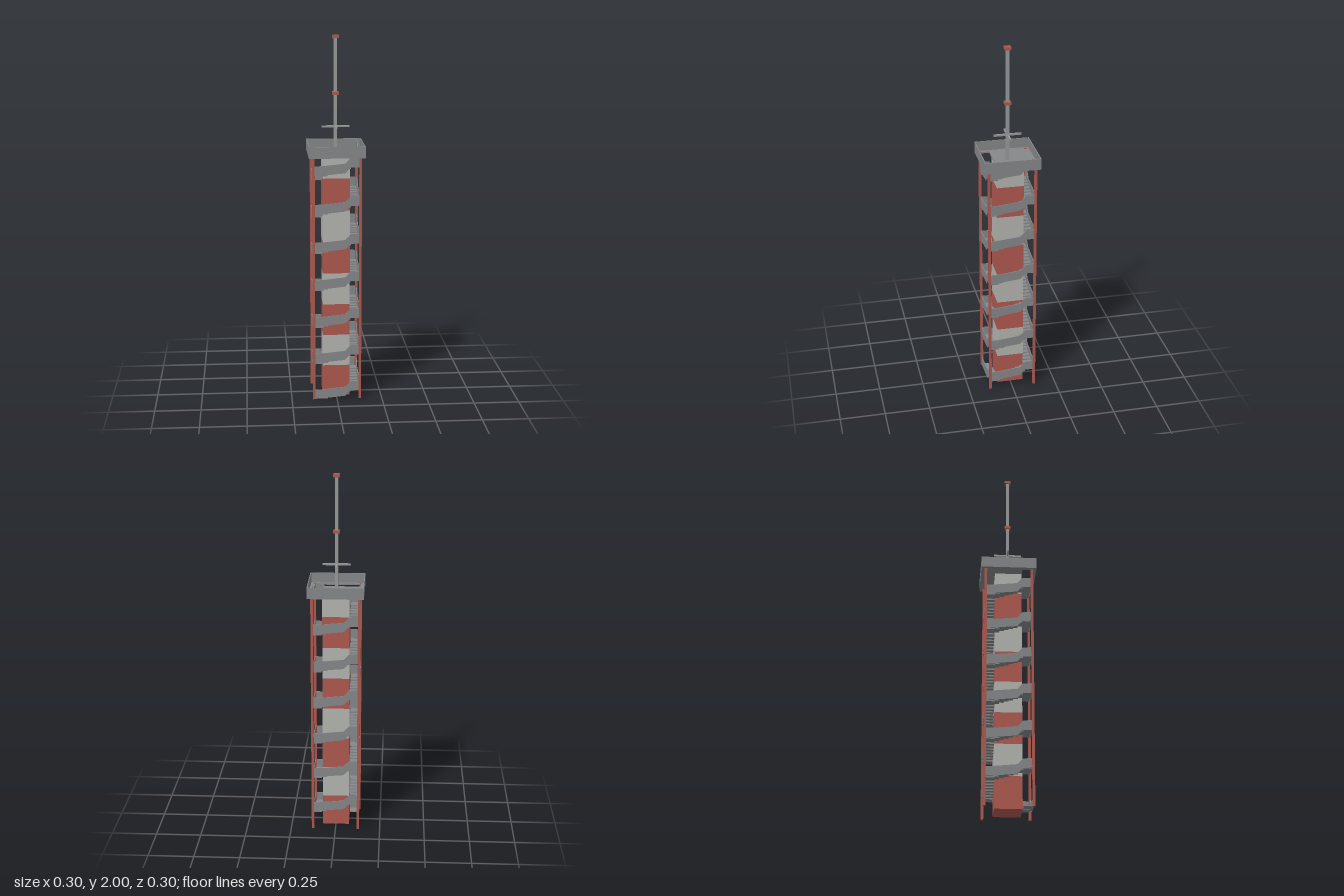
import * as THREE from 'three';

export function createModel() {
  const model = new THREE.Group();
  const mat = (name, color) => {
    const m = new THREE.MeshStandardMaterial({ color });
    m.name = name;
    return m;
  };
  const red = mat('red paint', 0xae594f);
  const light = mat('light concrete', 0xb4b4b0);
  const grey = mat('grey concrete', 0x85878a);
  const steel = mat('mast steel', 0x98999a);

  const box = (parent, name, material, w, h, d, x, y, z) => {
    const mesh = new THREE.Mesh(new THREE.BoxGeometry(w, h, d), material);
    mesh.name = name;
    mesh.position.set(x, y, z);
    parent.add(mesh);
    return mesh;
  };

  // Central shaft in alternating painted bands
  const DECK = 1.36, BAND = 0.1765;
  for (let i = 0; i < 8; i++) {
    const y0 = i * BAND, y1 = Math.min(DECK, y0 + BAND);
    box(model, 'shaftBand', i % 2 ? light : red, 0.148, y1 - y0, 0.148, 0, (y0 + y1) / 2, 0);
  }

  // Corner posts
  for (const x of [-0.127, 0.127])
    for (const z of [-0.127, 0.127])
      box(model, 'cornerPost', red, 0.014, 1.368, 0.014, x, 0.684, z);

  // Side panel of one flight, following the climb up to the landing
  const edge = [[-0.127, 0], [-0.075, 0.002], [0.045, 0.014], [0.075, 0.046], [0.127, 0.0485]];
  const outline = [
    ...edge.map(([x, y]) => new THREE.Vector2(x, y)),
    ...edge.slice().reverse().map(([x, y]) => new THREE.Vector2(x, y + 0.052)),
  ];
  const panelGeo = new THREE.ExtrudeGeometry(new THREE.Shape(outline), { depth: 0.004, bevelEnabled: false });

  // Flights wind around the shaft, one per side
  const RISE = 0.0525, STEP = 0.0075, FLIGHTS = 26;
  for (let i = 0; i < FLIGHTS; i++) {
    const flight = new THREE.Group();
    flight.name = 'stairFlight';
    flight.position.y = i * RISE;
    flight.rotation.y = (i * Math.PI) / 2;
    const panel = new THREE.Mesh(panelGeo, grey);
    panel.name = 'sidePanel';
    panel.position.z = 0.124;
    // the last flight is trimmed to stay within the deck rim
    flight.add(panel);
    for (let k = 0; k < 6; k++)
      box(flight, 'tread', grey, 0.025, 0.009, 0.051, -0.0625 + k * 0.025, (k + 1) * STEP - 0.0045, 0.1);
    box(flight, 'landing', grey, 0.052, 0.008, 0.052, 0.101, RISE - 0.004, 0.101);
    model.add(flight);
  }
  box(model, 'groundLanding', grey, 0.052, 0.006, 0.052, -0.101, 0.003, 0.101);

  // Deck floor with an L-shaped stair opening (shape y is -z)
  const floor = new THREE.Shape();
  floor.moveTo(-0.15, -0.15).lineTo(0.15, -0.15).lineTo(0.15, 0.15).lineTo(-0.15, 0.15).closePath();
  const hole = new THREE.Path();
  hole.moveTo(-0.127, -0.127).lineTo(-0.127, -0.075).lineTo(0.075, -0.075)
    .lineTo(0.075, 0.075).lineTo(0.127, 0.075).lineTo(0.127, -0.127).closePath();
  floor.holes.push(hole);
  const floorGeo = new THREE.ExtrudeGeometry(floor, { depth: 0.008, bevelEnabled: false });
  floorGeo.rotateX(-Math.PI / 2);
  const deck = new THREE.Mesh(floorGeo, grey);
  deck.name = 'deckFloor';
  deck.position.y = DECK - 0.002;
  model.add(deck);

  // Deck rim walls
  for (const s of [-1, 1]) {
    box(model, 'deckRim', grey, 0.304, 0.062, 0.005, 0, 1.389, s * 0.1495);
    box(model, 'deckRim', grey, 0.005, 0.062, 0.294, s * 0.1495, 1.389, 0);
  }

  // Mast with crossed arms and red collars
  box(model, 'mast', steel, 0.018, 0.63, 0.018, 0, DECK + 0.315, 0);
  box(model, 'mastArm', steel, 0.152, 0.01, 0.01, 0, 1.51, 0);
  box(model, 'mastArm', steel, 0.01, 0.01, 0.152, 0, 1.51, 0);
  for (const y of [1.69, 1.992])
    box(model, 'mastCollar', red, 0.034, 0.016, 0.034, 0, y, 0);

  return model;
}
